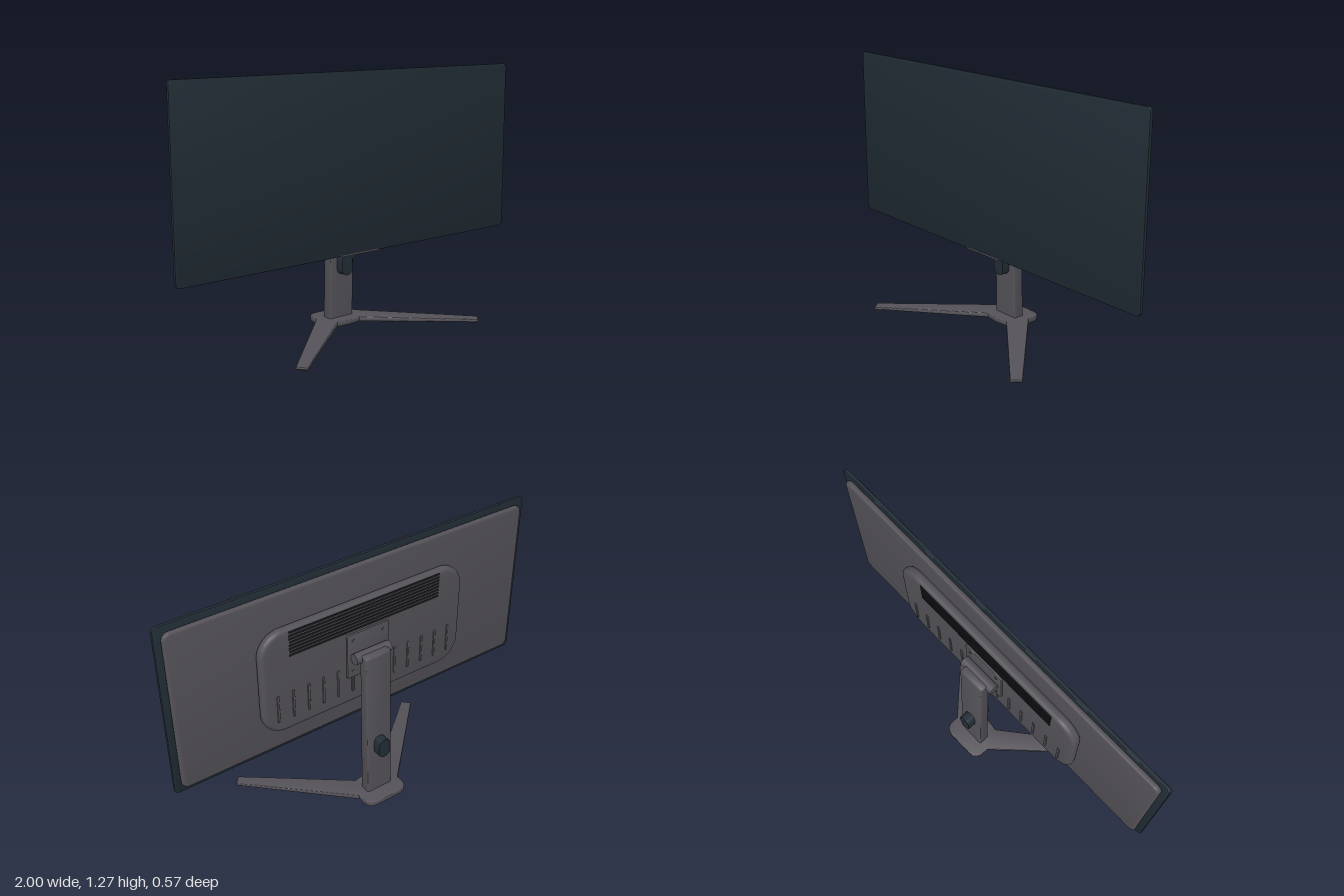
import * as THREE from 'three';
import { toCreasedNormals } from 'three/addons/utils/BufferGeometryUtils.js';

const material = (name, color) => new THREE.MeshStandardMaterial({ name, color });

// Extrude an outline to an exact depth, centred on z, with rounded edges
function extrude(shape, depth, bevel) {
  const geo = new THREE.ExtrudeGeometry(shape, {
    depth: depth - 2 * bevel, bevelEnabled: bevel > 0, bevelThickness: bevel,
    bevelSize: bevel, bevelOffset: -bevel, bevelSegments: 5, curveSegments: 10,
  });
  return geo.translate(0, 0, bevel - depth / 2);
}

const smooth = (geo) => toCreasedNormals(geo, 0.6);

function roundedRect(w, h, r) {
  const s = new THREE.Shape();
  const x = w / 2, y = h / 2, q = Math.PI / 2;
  s.absarc(x - r, y - r, r, 0, q);
  s.absarc(r - x, y - r, r, q, 2 * q);
  s.absarc(r - x, r - y, r, 2 * q, 3 * q);
  s.absarc(x - r, r - y, r, 3 * q, 4 * q);
  s.closePath();
  return s;
}

export function createModel() {
  const model = new THREE.Group();
  model.name = 'monitor';
  const grey = material('grey plastic', 0x545258);
  const dark = material('dark glass', 0x222d36);
  const black = material('black vent', 0x1c1d20);

  const add = (name, geo, mat, x = 0, y = 0, z = 0, parent = model) => {
    const mesh = new THREE.Mesh(geo, mat);
    mesh.name = name;
    mesh.position.set(x, y, z);
    parent.add(mesh);
    return mesh;
  };
  const group = (name) => {
    const g = new THREE.Group();
    g.name = name;
    model.add(g);
    return g;
  };
  // Rounded slab given by its size, y range and z range
  const slab = (name, mat, w, [y0, y1], [z0, z1], r, bevel) =>
    add(name, smooth(extrude(roundedRect(w, y1 - y0, r), z1 - z0, bevel)), mat,
      0, (y0 + y1) / 2, (z0 + z1) / 2);

  // Display
  slab('screen', dark, 2, [0.39, 1.27], [-0.023, -0.005], 0.022, 0.003);
  slab('backPanel', grey, 1.94, [0.42, 1.24], [-0.048, -0.021], 0.035, 0.012);
  slab('rearHousing', grey, 1.134, [0.54, 1.082], [-0.096, -0.046], 0.12, 0.021);
  add('chin', new THREE.BoxGeometry(0.236, 0.008, 0.017), grey, 0, 0.392, -0.0125);

  // Ventilation slats
  const vents = group('vents');
  const slat = new THREE.BoxGeometry(0.84, 0.01, 0.008);
  for (let i = 0; i < 8; i++) add('slat', slat, black, 0, 1.064 - i * 0.0168, -0.0945, vents);

  // Raised vertical ribs
  const ribs = group('ribs');
  const rib = smooth(extrude(roundedRect(0.013, 0.15, 0.006), 0.012, 0.003));
  for (let i = -6; i <= 6; i++) add('rib', rib, grey, i * 0.0817, 0.68, -0.095, ribs);

  // Mount plate, screws and tilt hinge
  slab('mountPlate', grey, 0.235, [0.692, 0.93], [-0.107, -0.09], 0.01, 0.003);
  const screw = new THREE.CylinderGeometry(0.008, 0.008, 0.004, 16).rotateX(Math.PI / 2);
  for (const x of [-0.085, 0.085])
    for (const y of [0.726, 0.896]) add('screw', screw, grey, x, y, -0.108);
  add('hinge', new THREE.CylinderGeometry(0.027, 0.027, 0.2, 32).rotateZ(Math.PI / 2),
    grey, 0, 0.81, -0.132);

  // Leaning column, drawn in side profile (z, y) and extruded across x
  const side = new THREE.Shape();
  side.moveTo(-0.213, 0.02);
  side.lineTo(-0.156, 0.02);
  side.lineTo(-0.138, 0.812);
  side.quadraticCurveTo(-0.138, 0.83, -0.152, 0.83);
  side.lineTo(-0.172, 0.83);
  side.quadraticCurveTo(-0.187, 0.83, -0.187, 0.812);
  side.closePath();
  add('column', smooth(extrude(side, 0.144, 0.008).rotateY(-Math.PI / 2)), grey);

  // Cable pass-through
  slab('cableGuide', dark, 0.064, [0.257, 0.36], [-0.247, -0.107], 0.029, 0);

  // V-shaped base, drawn in plan (x, -z) with legs that thin towards the tips
  const plan = new THREE.Shape();
  plan.moveTo(0.07, 0.1);
  plan.lineTo(0.53, -0.285);
  plan.lineTo(0.565, -0.243);
  plan.lineTo(0.12, 0.205);
  plan.lineTo(0.12, 0.235);
  plan.quadraticCurveTo(0.12, 0.29, 0.065, 0.29);
  plan.lineTo(-0.065, 0.29);
  plan.quadraticCurveTo(-0.12, 0.29, -0.12, 0.235);
  plan.lineTo(-0.12, 0.205);
  plan.lineTo(-0.565, -0.243);
  plan.lineTo(-0.53, -0.285);
  plan.lineTo(-0.07, 0.1);
  plan.quadraticCurveTo(0, 0.085, 0.07, 0.1);
  const base = extrude(plan, 0.029, 0.006).rotateX(-Math.PI / 2).translate(0, 0.0145, 0);
  const p = base.attributes.position;
  for (let i = 0; i < p.count; i++) {
    const t = THREE.MathUtils.clamp((p.getZ(i) + 0.16) / 0.44, 0, 1);
    p.setY(i, 0.004 + p.getY(i) * (1 - 0.52 * t));
  }
  add('base', smooth(base), grey);

  // Foot pads
  const pad = new THREE.BoxGeometry(0.04, 0.006, 0.04);
  for (const s of [-1, 1]) {
    add('footPad', pad, black, s * 0.525, 0.003, 0.246).rotation.y = s * -0.73;
    add('footPad', pad, black, s * 0.08, 0.003, -0.245);
  }
  return model;
}
